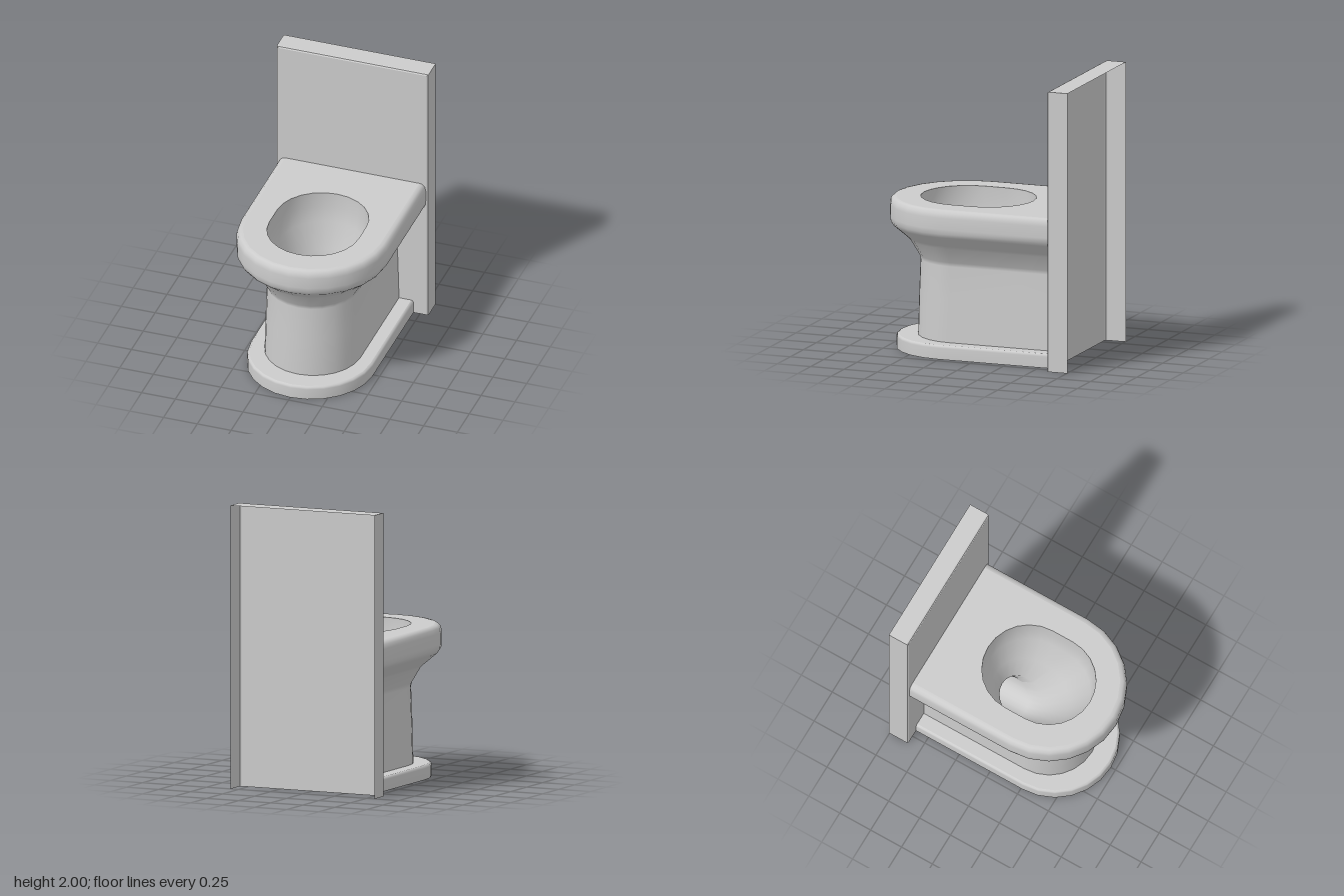
import * as THREE from 'three';

const BACK = -0.6; // plane of the wall panel's front sheet
const material = new THREE.MeshStandardMaterial({ color: 0xcccccc, side: THREE.DoubleSide });

function add(group, name, geometry) {
  const mesh = new THREE.Mesh(geometry, material);
  mesh.name = name;
  group.add(mesh);
  return mesh;
}

// Skin a row of cross-sections, each an array of [x, y, z]
function loft(rings, closed) {
  const n = rings[0].length;
  const index = [];
  for (let r = 0; r < rings.length - 1; r++) {
    for (let i = 0; i < (closed ? n : n - 1); i++) {
      const j = (i + 1) % n;
      const a = r * n + i, b = r * n + j, c = a + n, d = b + n;
      index.push(a, c, b, b, c, d);
    }
  }
  const geometry = new THREE.BufferGeometry();
  geometry.setAttribute('position', new THREE.Float32BufferAttribute(rings.flat(2), 3));
  geometry.setIndex(index);
  geometry.computeVertexNormals();
  return geometry;
}

// D-shaped outline: straight sides from the panel, half round at the front
function dOutline(r, centreZ) {
  const points = [[r, BACK]];
  for (let i = 0; i <= 12; i++) {
    const a = (i / 12) * Math.PI;
    points.push([r * Math.cos(a), centreZ + r * Math.sin(a)]);
  }
  points.push([-r, BACK]);
  return points;
}

// Wall running up a profile of [radius, y]
const dWall = (profile, centreZ) =>
  loft(profile.map(([r, y]) => dOutline(r, centreZ).map(([x, z]) => [x, y, z])), false);

// Flat horizontal sheet with an optional hole
function sheet(outline, y, hole) {
  const toPoints = (list) => list.map(([x, z]) => new THREE.Vector2(x, -z));
  const shape = new THREE.Shape(toPoints(outline));
  if (hole) shape.holes.push(new THREE.Path(toPoints(hole)));
  return new THREE.ShapeGeometry(shape).rotateX(-Math.PI / 2).translate(0, y, 0);
}

// Bowl section from its back and front points, half width and straight share
function bowlRing({ back, front, w, s }) {
  const points = [];
  for (let half = 0; half < 2; half++) {
    for (let i = 0; i <= 12; i++) {
      const a = (half + i / 12) * Math.PI;
      const sign = half ? -1 : 1;
      const t = 0.5 + 0.5 * (s * sign + (1 - s) * Math.sin(a));
      points.push([
        w * Math.cos(a),
        THREE.MathUtils.lerp(back[1], front[1], t),
        THREE.MathUtils.lerp(back[0], front[0], t),
      ]);
    }
  }
  return points;
}

export function createModel() {
  const model = new THREE.Group();
  model.name = 'toilet';

  // Foot, hollow underneath
  const foot = new THREE.Group();
  foot.name = 'foot';
  add(foot, 'footWall', dWall([[0.452, 0], [0.452, 0.08], [0.447, 0.094], [0.435, 0.1]], 0.262));
  add(foot, 'footTop', sheet(dOutline(0.435, 0.262), 0.1));
  model.add(foot);

  // Pedestal flaring out into the rim
  add(model, 'pedestalAndRim', dWall([
    [0.345, 0.1], [0.337, 0.4], [0.328, 0.64], [0.335, 0.67], [0.4, 0.78], [0.425, 0.805],
    [0.52, 0.885], [0.54, 0.915], [0.543, 0.95], [0.543, 1.03], [0.535, 1.062],
    [0.517, 1.08], [0.495, 1.084],
  ], 0.215));

  // Bowl running down and back into the outlet pipe
  const sections = [
    { back: [-0.28, 1.084], front: [0.54, 1.084], w: 0.33, s: 0.2 },
    { back: [-0.28, 0.97], front: [0.54, 0.96], w: 0.33, s: 0.2 },
    { back: [-0.265, 0.86], front: [0.5, 0.8], w: 0.315, s: 0.18 },
    { back: [-0.215, 0.66], front: [0.34, 0.52], w: 0.235, s: 0.1 },
    { back: [-0.165, 0.5], front: [0.15, 0.27], w: 0.15, s: 0.04 },
    { back: [-0.19, 0.46], front: [0.02, 0.18], w: 0.135, s: 0 },
    { back: [-0.32, 0.46], front: [-0.2, 0.16], w: 0.135, s: 0 },
    { back: [BACK, 0.46], front: [BACK, 0.16], w: 0.135, s: 0 },
  ].map(bowlRing);
  add(model, 'bowlAndOutlet', loft(sections, true));

  // Flat deck around the bowl opening
  const opening = sections[0].map(([x, , z]) => [x, z]);
  add(model, 'rimDeck', sheet(dOutline(0.495, 0.215), 1.084, opening));

  // Wall panel: thin sheet with flanges turned back at the sides and top
  const panel = new THREE.Group();
  panel.name = 'wallPanel';
  const lip = [[0.012, BACK], [0.003, BACK - 0.006], [0, BACK - 0.016], [0, -0.755]].map(([inset, z]) => {
    const w = 0.562 - inset, h = 2 - inset;
    return [[w, 0, z], [w, h, z], [-w, h, z], [-w, 0, z]];
  });
  const flange = loft(lip, false).toNonIndexed();
  flange.computeVertexNormals();
  add(panel, 'panelFlange', flange);
  add(panel, 'panelFront', new THREE.PlaneGeometry(1.1, 1.988).translate(0, 0.994, BACK));
  model.add(panel);

  return model;
}
